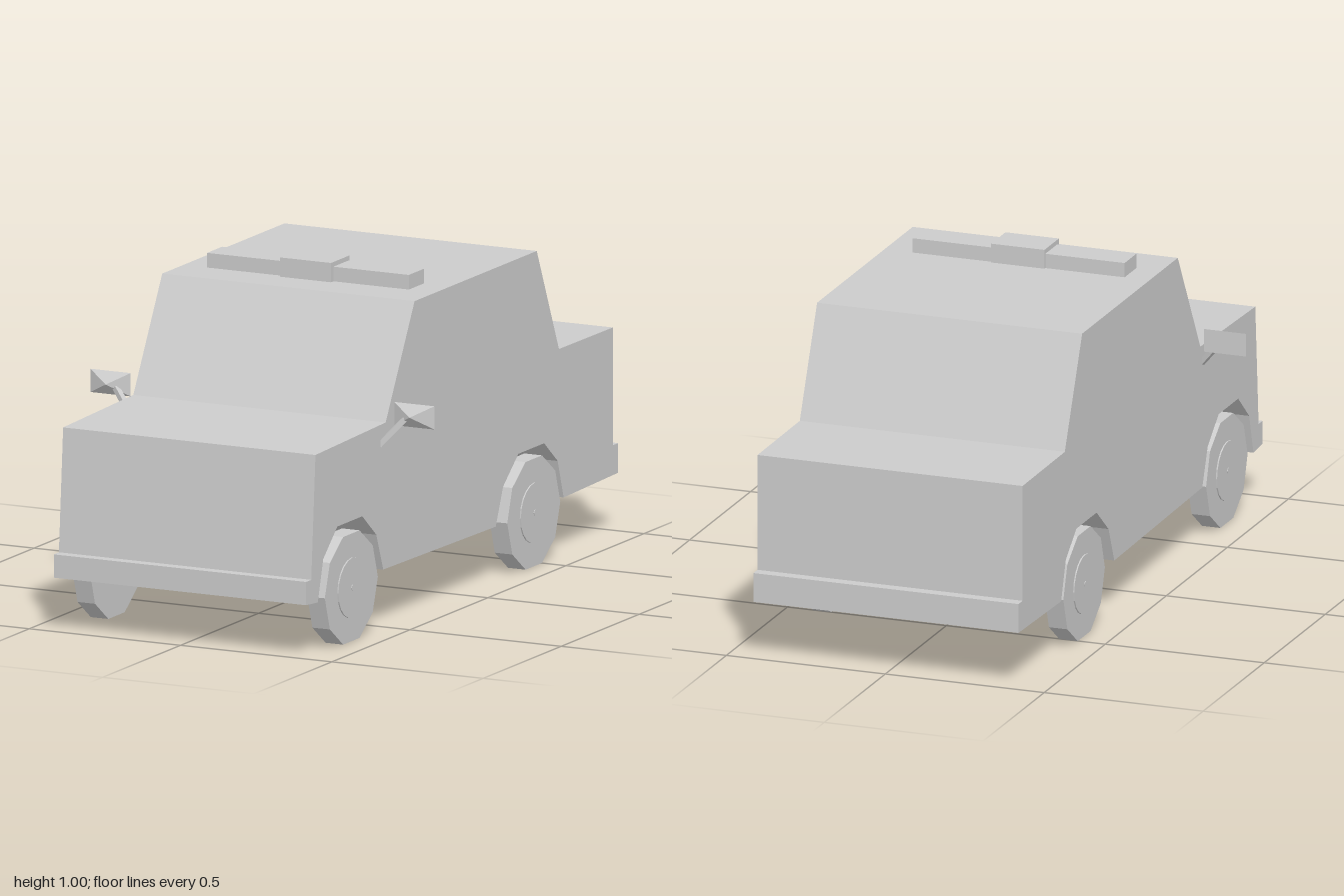
import * as THREE from 'three';

const material = new THREE.MeshStandardMaterial({ color: 0xcccccc, flatShading: true });

function addMesh(parent, name, geometry, x = 0, y = 0, z = 0) {
  const mesh = new THREE.Mesh(geometry, material);
  mesh.name = name;
  mesh.position.set(x, y, z);
  parent.add(mesh);
  return mesh;
}

// Cylinder lying along x
function discX(radius, width, sides) {
  return new THREE.CylinderGeometry(radius, radius, width, sides).rotateZ(Math.PI / 2);
}

// Side outline (z, y) with bumpers, cabin and both wheel arches
function bodyGeometry() {
  const outline = [
    [1, 0.162], [1, 0.232], [0.967, 0.232], [0.94, 0.602], [0.49, 0.613], [0.305, 0.942],
    [-0.478, 0.942], [-0.62, 0.62], [-0.966, 0.618], [-0.966, 0.264], [-1, 0.264], [-1, 0.175],
    [-0.65, 0.168], [-0.612, 0.285], [-0.525, 0.355], [-0.36, 0.355], [-0.262, 0.275], [-0.215, 0.164],
    [0.506, 0.174], [0.55, 0.287], [0.64, 0.36], [0.8, 0.36], [0.89, 0.28], [0.925, 0.156],
  ];
  const shape = new THREE.Shape(outline.map(([z, y]) => new THREE.Vector2(z, y)));
  return new THREE.ExtrudeGeometry(shape, { depth: 0.834, bevelEnabled: false })
    .rotateY(-Math.PI / 2)
    .translate(0.415, 0, 0);
}

// Ten-sided wheel with a slightly raised hub and a short axle stub
function createWheel(name, side, z) {
  const wheel = new THREE.Group();
  wheel.name = name;
  wheel.position.set(side * 0.388 + 0.003, 0.162, z);
  addMesh(wheel, 'tire', discX(0.17, 0.058, 10));
  addMesh(wheel, 'hub', discX(0.09, 0.004, 20), side * 0.031);
  addMesh(wheel, 'axleStub', discX(0.009, 0.132, 8), side * -0.031);
  return wheel;
}

// Pyramid mirror housing pointing forward on a slanted arm
function createMirror(name, side) {
  const mirror = new THREE.Group();
  mirror.name = name;
  const housing = new THREE.ConeGeometry(Math.SQRT1_2, 1, 4)
    .rotateY(Math.PI / 4)
    .rotateX(Math.PI / 2)
    .scale(0.133, 0.07, 0.032);
  addMesh(mirror, 'mirrorHousing', housing, side * 0.502, 0.639, 0.491);

  const start = new THREE.Vector3(side * 0.408, 0.55, 0.517);
  const end = new THREE.Vector3(side * 0.478, 0.63, 0.488);
  const arm = addMesh(mirror, 'mirrorArm', new THREE.BoxGeometry(0.016, 0.016, start.distanceTo(end)));
  arm.position.copy(start).lerp(end, 0.5);
  arm.lookAt(end);
  return mirror;
}

export function createModel() {
  const car = new THREE.Group();
  car.name = 'car';
  addMesh(car, 'body', bodyGeometry());

  // Roof light bar
  addMesh(car, 'lightBar', new THREE.BoxGeometry(0.667, 0.047, 0.096), -0.007, 0.9625, 0.122);
  addMesh(car, 'lightBarCentre', new THREE.BoxGeometry(0.168, 0.062, 0.118), -0.007, 0.969, 0.126);

  // Wheels and mirrors on both sides
  for (const [label, side] of [['left', 1], ['right', -1]]) {
    car.add(createWheel(label + 'FrontWheel', side, 0.72));
    car.add(createWheel(label + 'RearWheel', side, -0.449));
    car.add(createMirror(label + 'Mirror', side));
  }
  return car;
}
